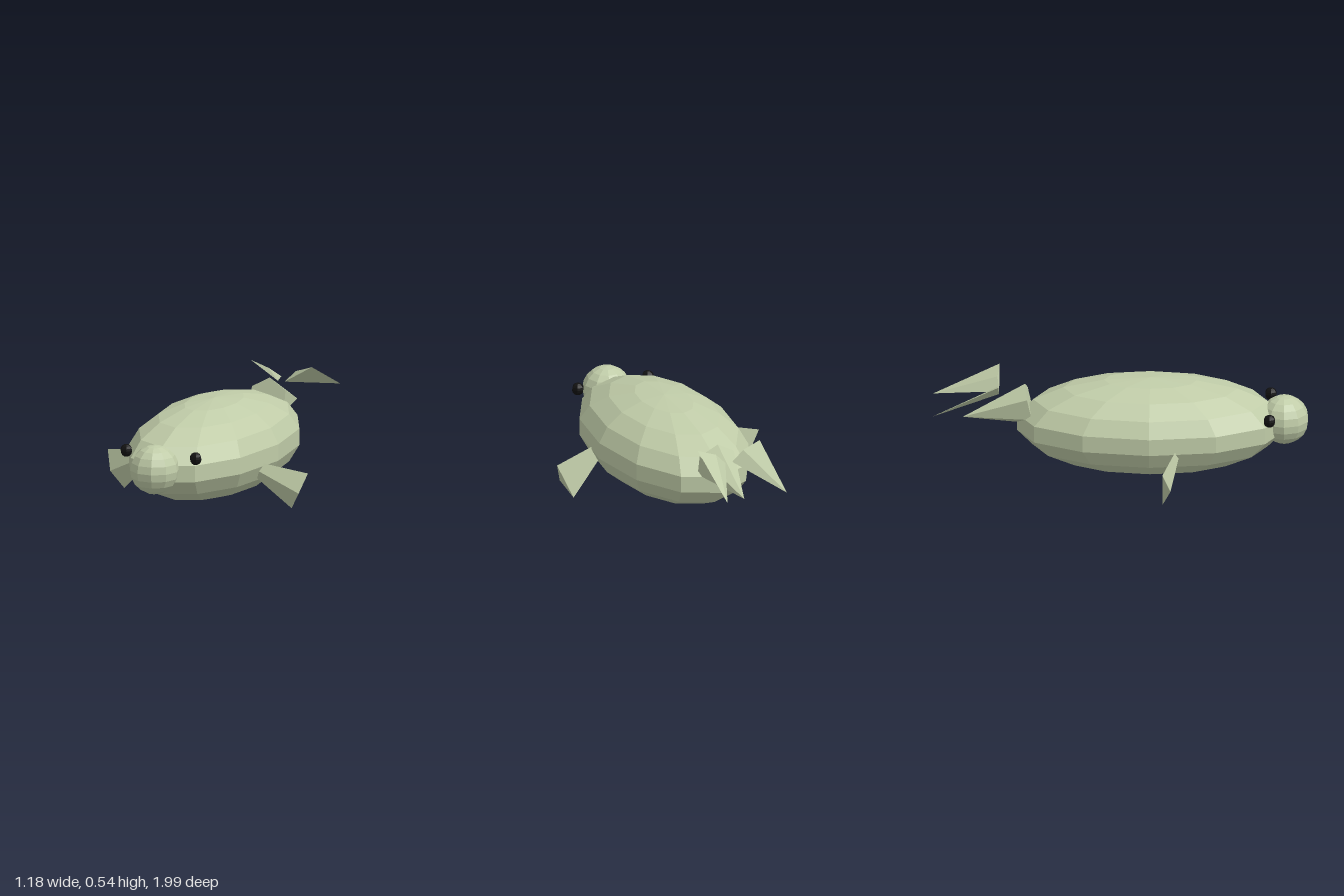
import * as THREE from 'three';
import { ConvexGeometry } from 'three/addons/geometries/ConvexGeometry.js';

const skin = new THREE.MeshStandardMaterial({ color: 0xc0cca8, flatShading: true });
const black = new THREE.MeshStandardMaterial({ color: 0x111111, flatShading: true });

function part(name, geometry, material, x = 0, y = 0, z = 0) {
  const mesh = new THREE.Mesh(geometry, material);
  mesh.name = name;
  mesh.position.set(x, y, z);
  return mesh;
}

// Three-sided spike from four corners, mirrored by side (+1 left, -1 right)
function spike(corners, side) {
  return new ConvexGeometry(corners.map(([x, y, z]) => new THREE.Vector3(x * side, y, z)));
}

export function createModel() {
  const model = new THREE.Group();
  model.name = 'seaAnimal';

  // Long, flattened faceted body
  const body = new THREE.SphereGeometry(1, 12, 9).scale(0.386, 0.258, 0.718);
  model.add(part('body', body, skin, 0, 0.279, 0.16));

  // Round snout
  model.add(part('snout', new THREE.SphereGeometry(0.132, 10, 10), skin, 0, 0.305, 0.87));

  // Six-sided tail cone, pointing back and slightly down
  const tail = part('tail', new THREE.ConeGeometry(0.115, 0.363, 6), skin, 0, 0.344, -0.657);
  tail.rotation.x = -1.787;
  model.add(tail);

  for (const [label, side] of [['left', 1], ['right', -1]]) {
    model.add(part(label + 'Eye', new THREE.SphereGeometry(0.034, 6, 8), black, 0.205 * side, 0.37, 0.795));

    // Flipper: apex inside the body, wide end outward
    const flipper = [[0.195, 0.28, 0.343], [0.592, 0.205, 0.235], [0.495, 0.004, 0.235], [0.557, 0.1, 0.277]];
    model.add(part(label + 'Flipper', spike(flipper, side), skin));

    // Tail fluke: triangular front end, point to the rear
    const fluke = [[0.174, 0.37, -0.995], [0.181, 0.54, -0.642], [0.02, 0.443, -0.642], [0.08, 0.505, -0.652]];
    model.add(part(label + 'Fluke', spike(fluke, side), skin));
  }
  return model;
}
